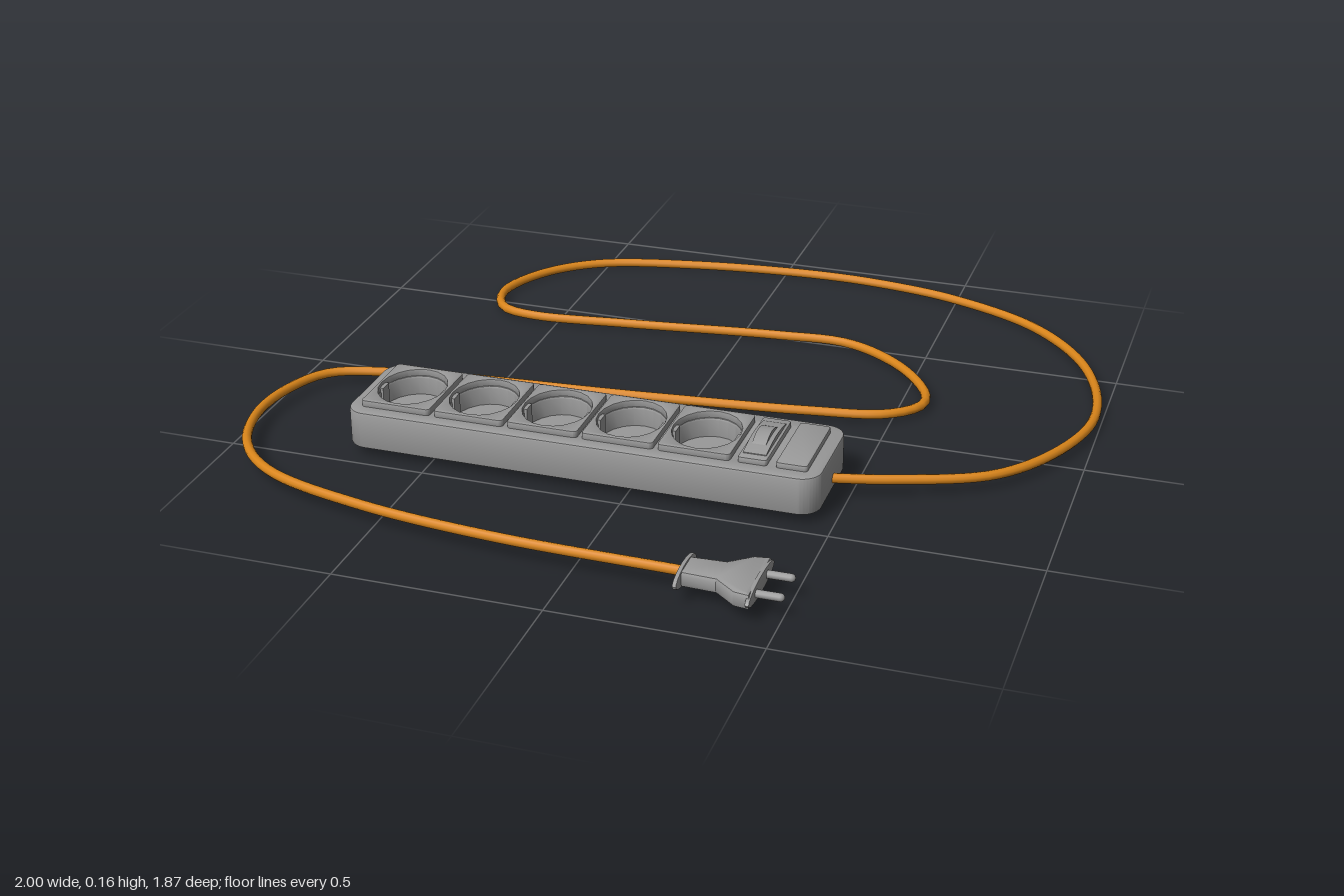
import * as THREE from 'three';
import { toCreasedNormals } from 'three/addons/utils/BufferGeometryUtils.js';

const grey = new THREE.MeshStandardMaterial({ color: 0x999999 });
const orange = new THREE.MeshStandardMaterial({ color: 0xd9851a });

function part(name, geometry, parent, material = grey) {
  const mesh = new THREE.Mesh(geometry, material);
  mesh.name = name;
  parent.add(mesh);
  return mesh;
}

// Rounded rectangle centred on (cx, cy)
function roundRect(cx, cy, w, h, r) {
  const s = new THREE.Shape();
  const x = w / 2 - r, y = h / 2 - r;
  s.absarc(cx + x, cy + y, r, 0, Math.PI / 2);
  s.absarc(cx - x, cy + y, r, Math.PI / 2, Math.PI);
  s.absarc(cx - x, cy - y, r, Math.PI, Math.PI * 1.5);
  s.absarc(cx + x, cy - y, r, Math.PI * 1.5, Math.PI * 2);
  s.closePath();
  return s;
}

function ellipse(cx, cy, rx, ry) {
  return new THREE.Shape().absellipse(cx, cy, rx, ry, 0, Math.PI * 2);
}

// Extrusion along +z with an optional bevel inside the outline
function extrude(shape, depth, bevel = 0) {
  const geometry = new THREE.ExtrudeGeometry(shape, {
    depth: depth - 2 * bevel, bevelEnabled: bevel > 0, bevelThickness: bevel,
    bevelSize: bevel, bevelOffset: -bevel, bevelSegments: 2, curveSegments: 10,
  });
  geometry.translate(0, 0, bevel);
  return toCreasedNormals(geometry, 0.5);
}

// Upright slab between two heights; shape coordinates are (x, -z)
function slab(shape, y0, y1, bevel = 0) {
  return extrude(shape, y1 - y0, bevel).rotateX(-Math.PI / 2).translate(0, y0, 0);
}

const Z = 0.327; // centre line of the strip
const SOCKETS = [0, 1, 2, 3, 4].map((i) => -0.592 + i * 0.1875);

function buildStrip() {
  const strip = new THREE.Group();
  strip.name = 'powerStrip';

  // Housing with a well for each socket, closed by a floor
  const outline = roundRect(-0.124, -Z, 1.176, 0.288, 0.05);
  SOCKETS.forEach((x) => outline.holes.push(ellipse(x, -Z, 0.08, 0.094)));
  part('housing', slab(outline, 0.025, 0.12, 0.006), strip);
  part('housingFloor', slab(roundRect(-0.124, -Z, 1.16, 0.272, 0.044), 0.024, 0.07), strip);

  for (const x of SOCKETS) {
    const socket = new THREE.Group();
    socket.name = 'socket';
    socket.position.set(x, 0, Z);
    strip.add(socket);

    const plate = roundRect(0, 0, 0.176, 0.218, 0.01);
    plate.holes.push(ellipse(0, 0, 0.082, 0.098));
    part('socketPlate', slab(plate, 0.115, 0.136, 0.002), socket);

    // Guide ribs at the sides
    for (const s of [-1, 1]) {
      part('guideRib', new THREE.BoxGeometry(0.012, 0.058, 0.034), socket)
        .position.set(s * 0.078, 0.098, 0);
    }
  }

  // Switch: frame, domed surround and raised rocker
  part('switchFrame', slab(roundRect(0.299, -Z, 0.07, 0.215, 0.008), 0.115, 0.134, 0.003), strip);
  const dome = (w, half, top) => {
    const s = new THREE.Shape();
    s.moveTo(-half, 0.125);
    s.lineTo(half, 0.125);
    s.lineTo(half, 0.136);
    s.quadraticCurveTo(0, top * 2 - 0.136, -half, 0.136);
    s.closePath();
    return extrude(s, w).translate(0, 0, -w / 2).rotateY(Math.PI / 2);
  };
  part('switchSurround', dome(0.056, 0.085, 0.146), strip).position.set(0.299, 0, Z);
  part('switchRocker', dome(0.034, 0.06, 0.156), strip).position.set(0.299, 0, Z);

  part('blankPanel', slab(roundRect(0.393, -Z, 0.075, 0.215, 0.008), 0.115, 0.134, 0.003), strip);
  return strip;
}

function buildPlug() {
  const plug = new THREE.Group();
  plug.name = 'plug';
  plug.position.set(0, 0.053, 0.834);

  // Flared grip
  const half = [[0.265, 0.038], [0.35, 0.042], [0.40, 0.082], [0.438, 0.087]];
  const grip = new THREE.Shape([
    ...half.map(([x, z]) => new THREE.Vector2(x, -z)),
    ...half.slice().reverse().map(([x, z]) => new THREE.Vector2(x, z)),
  ]);
  part('plugGrip', slab(grip, -0.02, 0.02, 0.01), plug);

  // Oval flanges at the cord end and at the face
  for (const [x, w, h] of [[0.261, 0.146, 0.046], [0.431, 0.2, 0.044]]) {
    const flange = extrude(ellipse(0, 0, w / 2, h / 2), 0.01, 0.002);
    part('plugFlange', flange.rotateY(Math.PI / 2), plug).position.x = x;
  }

  // Contact pins with rounded tips
  for (const s of [-1, 1]) {
    const pin = new THREE.CapsuleGeometry(0.0095, 0.07, 4, 12).rotateZ(Math.PI / 2);
    part('plugPin', pin, plug).position.set(0.46, 0, s * 0.043);
  }
  return plug;
}

// Cord path as x, y, z
const CORD = [
  [0.44, 0.054, 0.328], [0.6, 0.046, 0.27], [0.81, 0.036, 0.158], [0.932, 0.03, -0.02],
  [0.985, 0.026, -0.24], [0.913, 0.02, -0.53], [0.74, 0.016, -0.745], [0.5, 0.013, -0.868],
  [0.3, 0.012, -0.912], [0.1, 0.012, -0.922], [-0.25, 0.012, -0.885], [-0.52, 0.012, -0.81],
  [-0.65, 0.013, -0.69], [-0.704, 0.014, -0.54], [-0.665, 0.014, -0.44], [-0.57, 0.015, -0.41],
  [-0.3, 0.016, -0.435], [0.1, 0.017, -0.485], [0.29, 0.018, -0.49], [0.45, 0.019, -0.395],
  [0.555, 0.02, -0.25], [0.559, 0.021, -0.175], [0.485, 0.022, -0.103], [0.3, 0.024, -0.06],
  [-0.1, 0.026, -0.008], [-0.79, 0.032, 0.075], [-0.92, 0.034, 0.13], [-0.977, 0.035, 0.25],
  [-0.984, 0.037, 0.4], [-0.93, 0.039, 0.555], [-0.81, 0.041, 0.672], [-0.55, 0.044, 0.759],
  [-0.2, 0.048, 0.812], [0.28, 0.053, 0.834],
];

export function createModel() {
  const model = new THREE.Group();
  model.name = 'extensionLead';
  model.add(buildStrip(), buildPlug());

  const path = new THREE.CatmullRomCurve3(CORD.map((p) => new THREE.Vector3(...p)), false, 'centripetal');
  part('cord', new THREE.TubeGeometry(path, 260, 0.012, 10), model, orange);
  return model;
}
